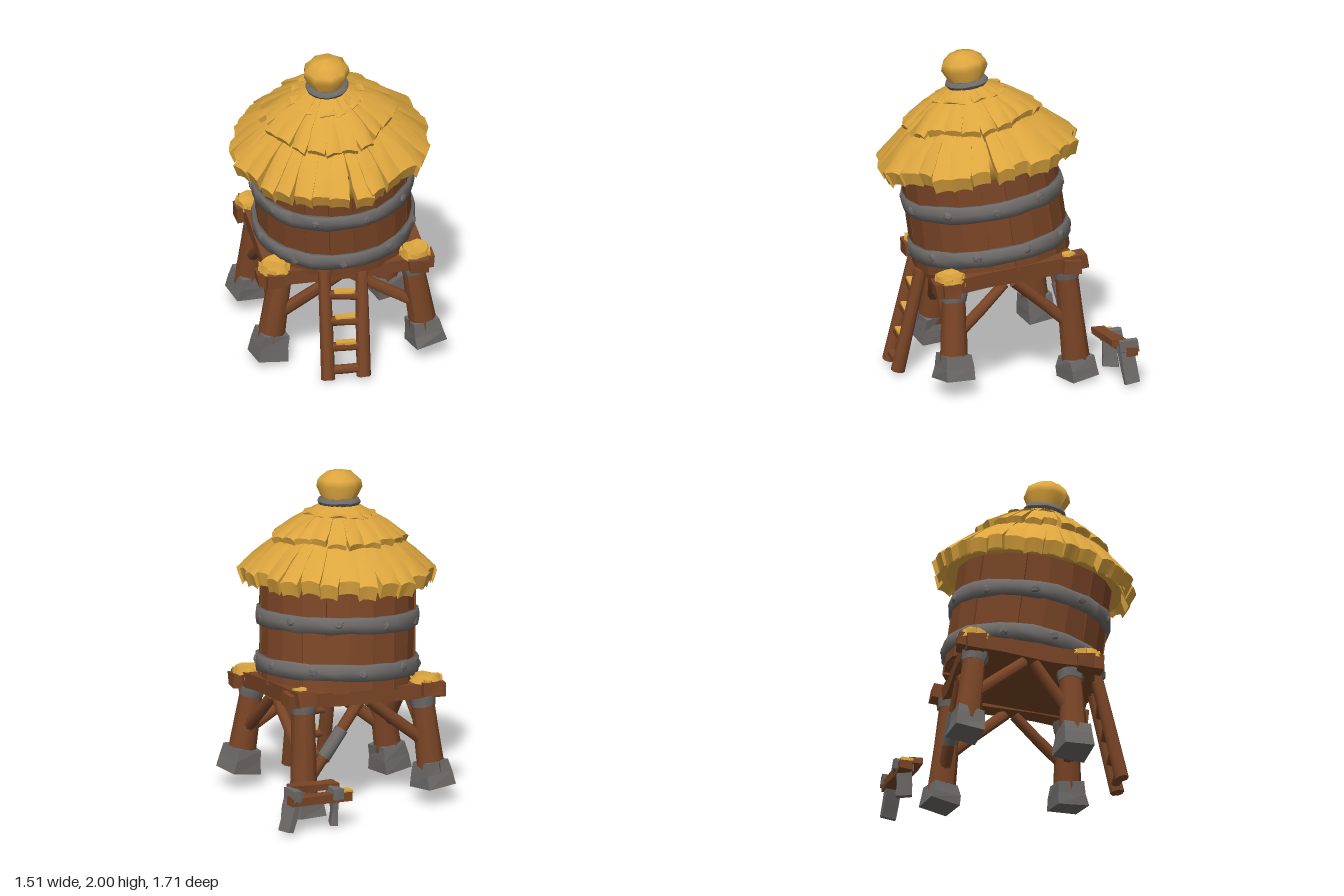
import * as THREE from 'three';

const mat = (name, color) => {
  const m = new THREE.MeshStandardMaterial({ color });
  m.name = name;
  return m;
};
const V = (x, y, z) => new THREE.Vector3(x, y, z);

export function createModel() {
  const wood = mat('brown wood', 0x7a4526);
  const straw = mat('golden straw', 0xdca53e);
  const stone = mat('grey stone and iron', 0x6d6a68);
  const model = new THREE.Group();
  model.name = 'waterTower';

  let seed = 7;
  const rand = () => (seed = (seed * 16807) % 2147483647) / 2147483647;
  const vary = (a) => (rand() - 0.5) * 2 * a;

  // Hand-hewn look: shift each corner by an amount that depends on its place
  const rough = (geo, amt, salt = rand() * 10) => {
    const p = geo.attributes.position;
    const hash = (k, i) => {
      const s = Math.sin(Math.round(p.getX(i) * 500) * 12.99 + Math.round(p.getY(i) * 500) * 78.23
        + Math.round(p.getZ(i) * 500) * 37.72 + k * 4.1 + salt) * 43758.5;
      return (s - Math.floor(s) - 0.5) * 2 * amt;
    };
    for (let i = 0; i < p.count; i++) {
      const d = [hash(1, i), hash(2, i), hash(3, i)];
      p.setXYZ(i, p.getX(i) + d[0], p.getY(i) + d[1], p.getZ(i) + d[2]);
    }
    geo.computeVertexNormals();
    return geo;
  };
  const add = (parent, name, geo, m, pos = V(0, 0, 0)) => {
    const mesh = new THREE.Mesh(geo, m);
    mesh.name = name;
    mesh.position.copy(pos);
    parent.add(mesh);
    return mesh;
  };
  // Squared timber between two points
  const beam = (parent, name, a, b, w, h, m = wood, amt = 0.006) => {
    const mesh = add(parent, name, rough(new THREE.BoxGeometry(w, h, a.distanceTo(b), 1, 1, 3), amt), m,
      a.clone().lerp(b, 0.5));
    mesh.lookAt(b);
    return mesh;
  };
  // Round pole between two points
  const pole = (parent, name, a, b, r0, r1, m = wood, sides = 9) => {
    const mesh = add(parent, name, rough(new THREE.CylinderGeometry(r1, r0, a.distanceTo(b), sides, 2), 0.003), m,
      a.clone().lerp(b, 0.5));
    mesh.quaternion.setFromUnitVectors(V(0, 1, 0), b.clone().sub(a).normalize());
    return mesh;
  };

  // Platform corners: front, left (+x), back, right (-x)
  const corners = [V(-0.12, 0.63, 0.69), V(0.57, 0.67, 0.16), V(0.06, 0.75, -0.4), V(-0.57, 0.71, 0.17)];
  const feet = [V(-0.185, 0.03, 0.65), V(0.615, 0.095, 0.11), V(0.025, 0.015, -0.445), V(-0.62, 0.105, 0.14)];
  const tops = [V(-0.13, 0.6, 0.59), V(0.54, 0.64, 0.15), V(0.05, 0.72, -0.37), V(-0.54, 0.67, 0.16)];
  const footHeights = [0.165, 0.155, 0.13, 0.155];

  // Legs with stone footings, iron collars and straw on the corners
  const legs = new THREE.Group();
  legs.name = 'legs';
  model.add(legs);
  feet.forEach((f, i) => {
    const t = tops[i], dir = t.clone().sub(f).normalize();
    pole(legs, 'leg', f.clone().addScaledVector(dir, 0.08), t, 0.088, 0.07);
    const h = footHeights[i];
    const block = add(legs, 'footing', rough(new THREE.CylinderGeometry(0.115, 0.14, h, 4, 2).toNonIndexed(), 0.007), stone,
      f.clone().addScaledVector(dir, h / 2));
    block.quaternion.setFromUnitVectors(V(0, 1, 0), dir).multiply(
      new THREE.Quaternion().setFromAxisAngle(V(0, 1, 0), i === 2 ? 0.2 : 0.12));
    pole(legs, 'legCollar', t.clone().addScaledVector(dir, -0.07), t.clone().addScaledVector(dir, -0.01), 0.076, 0.088, stone);
    // The back corner keeps only a scrap of straw
    const back = i === 2, k = back ? 0.55 : 1;
    const patch = add(legs, 'cornerStraw', rough(new THREE.CylinderGeometry(0.078 * k, 0.098 * k, 0.05, 9, 1), 0.012 * k), straw,
      corners[i].clone().add(V(0, back ? 0.035 : 0.06, 0)));
    patch.rotation.x = 0.12;
    for (let j = 0; j < (back ? 0 : 4); j++) {
      const a = j * 1.57 + 0.4;
      add(legs, 'strawTuft', rough(new THREE.BoxGeometry(0.05, 0.06, 0.03), 0.008), straw,
        corners[i].clone().add(V(Math.sin(a) * 0.08, 0.04, Math.cos(a) * 0.08))).rotation.y = a;
    }
  });

  // Platform edge beams, floor planks and braces under each side
  const platform = new THREE.Group();
  platform.name = 'platform';
  model.add(platform);
  corners.forEach((a, i) => {
    const b = corners[(i + 1) % 4];
    const d = b.clone().sub(a).normalize();
    const lift = V(0, i % 2 ? 0.008 : -0.008, 0);
    beam(platform, 'edgeBeam', a.clone().addScaledVector(d, -0.105).add(lift),
      b.clone().addScaledVector(d, 0.105).add(lift), 0.11, 0.09, wood, 0.009);
    const mid = a.clone().lerp(b, 0.5).add(V(0, -0.05, 0));
    [[i, -1], [(i + 1) % 4, 1]].forEach(([k, s]) => {
      const long = i === 2 && s < 0;
      const low = feet[k].clone().lerp(tops[k], long ? 0.24 : 0.46);
      const high = mid.clone().addScaledVector(d, s * 0.03);
      pole(platform, 'brace', low, high, 0.039, 0.035, wood, 8);
      if (long) pole(platform, 'braceSleeve', low.clone().lerp(high, 0.36), low.clone().lerp(high, 0.68), 0.043, 0.041, stone, 8);
    });
  });
  const [F, L, B, R] = corners;
  for (let i = 0; i < 6; i++) {
    const t = (i + 0.5) / 6;
    beam(platform, 'floorPlank', F.clone().lerp(L, t), R.clone().lerp(B, t), 0.15, 0.04, wood, 0.003);
  }

  // Ladder
  const ladder = new THREE.Group();
  ladder.name = 'ladder';
  model.add(ladder);
  const rails = [[V(0.27, 0.015, 0.715), V(0.17, 0.69, 0.59)], [V(0.44, 0.02, 0.575), V(0.36, 0.67, 0.46)]];
  rails.forEach(([a, b]) => pole(ladder, 'ladderRail', a, b, 0.044, 0.04));
  [0.08, 0.29, 0.53, 0.77].forEach((t, i) => {
    const [a, b] = rails.map((r) => r[0].clone().lerp(r[1], t));
    pole(ladder, 'ladderRung', a, b, 0.03, 0.03, wood, 8);
    if (i) beam(ladder, 'rungStraw', a.clone().lerp(b, 0.25).add(V(0, 0.03, 0)),
      a.clone().lerp(b, 0.8).add(V(0, 0.03, 0)), 0.05, 0.014, straw, 0.003);
  });

  // Leaning tank: everything above the platform shares one tilted axis
  const tank = new THREE.Group();
  tank.name = 'tank';
  tank.position.set(0, 0.7, 0.152);
  tank.rotation.set(0.137, 0, -0.03);
  model.add(tank);
  add(tank, 'tankCore', new THREE.CylinderGeometry(0.45, 0.45, 0.72, 20), wood, V(0, 0.37, 0));
  const staves = 20;
  for (let i = 0; i < staves; i++) {
    const a = (i / staves) * Math.PI * 2, r = 0.447 + vary(0.006);
    const s = add(tank, 'stave', rough(new THREE.BoxGeometry(0.147, 0.74, 0.05, 1, 3, 1), 0.003), wood,
      V(Math.sin(a) * r, 0.38 + vary(0.012), Math.cos(a) * r));
    s.rotation.y = a + vary(0.02);
  }
  // Iron hoops with broad hammered rivets
  [0.128, 0.418].forEach((h, k) => {
    const pts = [[0.45, -0.052], [0.496, -0.05], [0.503, 0], [0.496, 0.05], [0.45, 0.052], [0.45, -0.052]]
      .map(([r, y]) => new THREE.Vector2(r, y));
    add(tank, 'hoop', rough(new THREE.LatheGeometry(pts, 28), 0.006), stone, V(0, h, 0));
    for (let i = 0; i < 10; i++) {
      const a = ((i + k * 0.5) / 10) * Math.PI * 2;
      const rivet = add(tank, 'rivet', rough(new THREE.IcosahedronGeometry(0.03, 1).scale(1, 1, 0.55), 0.003), stone,
        V(Math.sin(a) * 0.494, h + vary(0.015), Math.cos(a) * 0.494));
      rivet.rotation.y = a;
    }
  });

  // Thatched roof: a solid core under tiers of overlapping straw strips
  const roof = new THREE.Group();
  roof.name = 'roof';
  tank.add(roof);
  const corePts = [[0.3, 0.69], [0.54, 0.635], [0.47, 0.76], [0.36, 0.88], [0.12, 1.06]].map(([r, y]) => new THREE.Vector2(r, y));
  add(roof, 'thatchCore', new THREE.LatheGeometry(corePts, 28), straw);
  const tier = (name, n, prof, thick, ragged) => {
    const at = (t, j) => {
      const u = t * (prof.length - 1), k = Math.min(Math.floor(u), prof.length - 2);
      return THREE.MathUtils.lerp(prof[k][j], prof[k + 1][j], u - k);
    };
    for (let i = 0; i < n; i++) {
      const geo = new THREE.BoxGeometry(1, 1, 1, 4, 1, 5);
      const p = geo.attributes.position;
      const len = 0.98 + vary(ragged), lift = (i % 2) * 0.01 + vary(0.004);
      const mid = ((i + vary(0.15)) / n) * Math.PI * 2, half = (Math.PI / n) * (1.16 + vary(0.1)), skew = vary(0.02);
      for (let v = 0; v < p.count; v++) {
        const x = p.getX(v) * 2, t = (p.getZ(v) + 0.5) * len;
        const a = mid + x * half * (1 - 0.2 * t ** 6);
        // The underside of each bundle tucks inwards so the eave looks rounded
        const r = at(t, 0) + t * skew * x + (p.getY(v) - 0.5) * 0.03 * t ** 4;
        const y = at(t, 1) + (p.getY(v) - 0.1) * thick * (0.6 + 0.7 * t) + lift * t ** 3 + (1 - x * x) * 0.014 * t ** 3;
        p.setXYZ(v, Math.sin(a) * r, y, Math.cos(a) * r);
      }
      add(roof, name, rough(geo, 0.003), straw);
    }
  };
  tier('lowerThatch', 30, [[0.3, 0.93], [0.41, 0.855], [0.51, 0.765], [0.612, 0.65]], 0.065, 0.075);
  tier('upperThatch', 22, [[0.09, 1.105], [0.2, 1.04], [0.31, 0.97], [0.41, 0.878]], 0.05, 0.06);
  tier('crownThatch', 13, [[0.08, 1.1], [0.16, 1.06], [0.23, 1.02]], 0.03, 0.08);

  // Tied topknot with folds
  add(roof, 'topCord', rough(new THREE.TorusGeometry(0.108, 0.026, 6, 18).rotateX(Math.PI / 2), 0.003), stone, V(0, 1.118, 0));
  const knotPts = [[0.095, 1.08], [0.105, 1.14], [0.142, 1.215], [0.132, 1.255], [0.08, 1.3], [0, 1.315]]
    .map(([r, y]) => new THREE.Vector2(r, y));
  const knot = new THREE.LatheGeometry(knotPts, 18);
  const kp = knot.attributes.position;
  for (let i = 0; i < kp.count; i++) {
    const s = Math.floor(i / knotPts.length) % 2 ? 0.94 : 1.02;
    kp.setXYZ(i, kp.getX(i) * s, kp.getY(i), kp.getZ(i) * s);
  }
  add(roof, 'topknot', rough(knot, 0.002), straw);

  // Small broken bench behind the tower
  const bench = new THREE.Group();
  bench.name = 'bench';
  model.add(bench);
  beam(bench, 'benchPlank', V(-0.19, 0.245, -0.475), V(0.03, 0.27, -0.72), 0.08, 0.045);
  beam(bench, 'benchPlank', V(-0.28, 0.19, -0.49), V(0.0, 0.21, -0.805), 0.08, 0.055);
  beam(bench, 'benchStraw', V(-0.285, 0.222, -0.482), V(-0.235, 0.225, -0.535), 0.075, 0.018, straw, 0.003);
  beam(bench, 'benchLeg', V(-0.02, 0.265, -0.74), V(0.025, 0.02, -0.81), 0.095, 0.042, stone);
  beam(bench, 'benchLeg', V(-0.215, 0.225, -0.55), V(-0.195, 0.02, -0.56), 0.095, 0.042, stone);
  [V(-0.21, 0.22, -0.56), V(-0.012, 0.245, -0.765)].forEach((c) => {
    const d = V(0.02, 0.003, -0.022);
    beam(bench, 'benchStrap', c.clone().sub(d), c.clone().add(d), 0.12, 0.07, stone);
  });

  return model;
}
